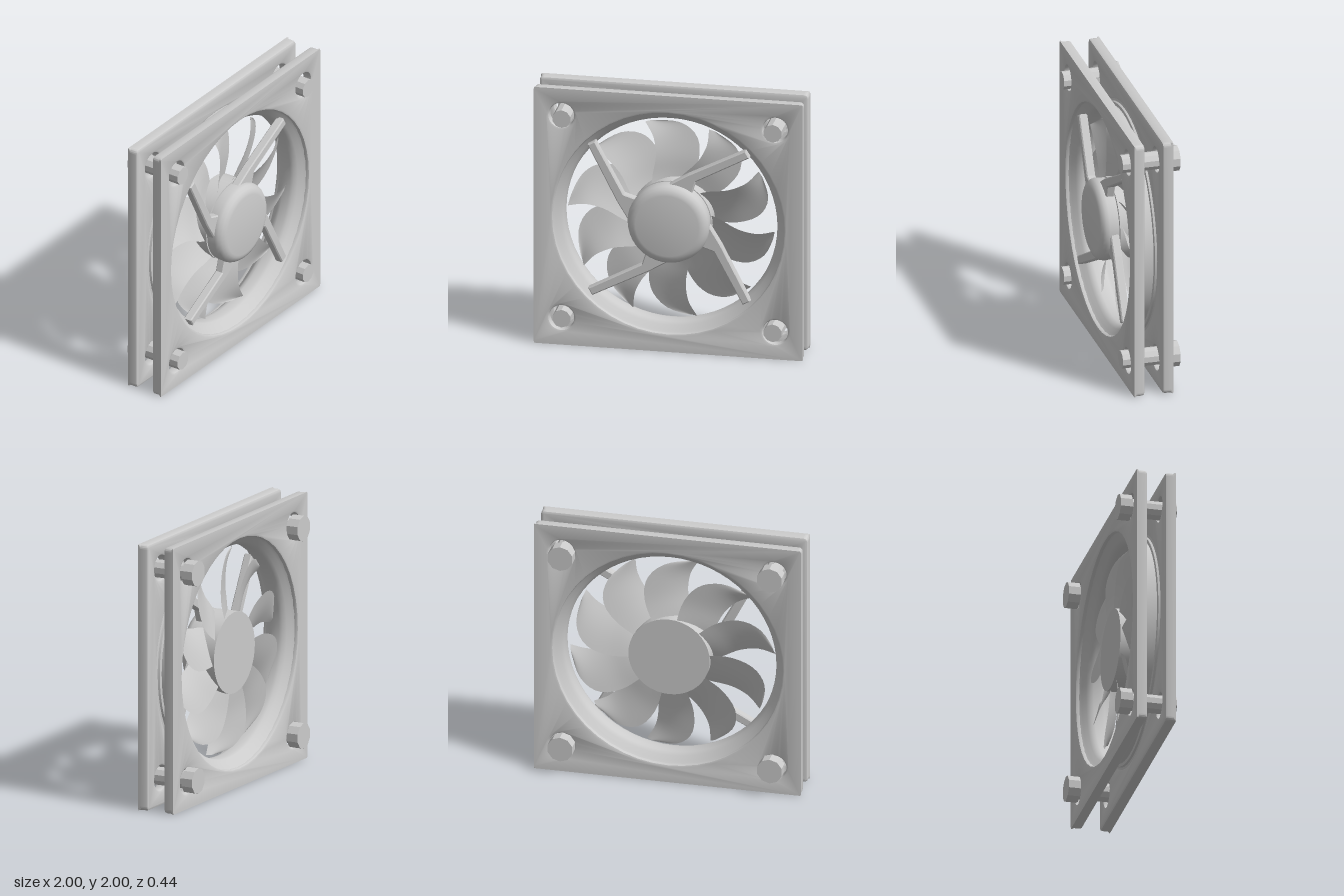
import * as THREE from 'three';
import { toCreasedNormals } from 'three/addons/utils/BufferGeometryUtils.js';

const mat = new THREE.MeshStandardMaterial({ color: 0xcccccc });
const thin = new THREE.MeshStandardMaterial({ color: 0xcccccc, side: THREE.DoubleSide });
const BOLT = 0.785;

function part(name, geo, parent, material = mat) {
  const mesh = new THREE.Mesh(geo, material);
  mesh.name = name;
  parent.add(mesh);
  return mesh;
}

// Lathe whose axis is z; points are [radius, z]
function turned(points, segments) {
  const geo = new THREE.LatheGeometry(points.map(([r, z]) => new THREE.Vector2(r, z)), segments);
  geo.rotateX(Math.PI / 2);
  return toCreasedNormals(geo, 0.6);
}

// Square plate with round opening and bolt holes, eased on its inner (z = 0) side
function plateGeometry() {
  const s = 1, c = 0.035;
  const shape = new THREE.Shape();
  shape.moveTo(-s + c, -s);
  shape.lineTo(s - c, -s).quadraticCurveTo(s, -s, s, -s + c);
  shape.lineTo(s, s - c).quadraticCurveTo(s, s, s - c, s);
  shape.lineTo(-s + c, s).quadraticCurveTo(-s, s, -s, s - c);
  shape.lineTo(-s, -s + c).quadraticCurveTo(-s, -s, -s + c, -s);
  const hole = (x, y, r) => shape.holes.push(new THREE.Path().absarc(x, y, r, 0, Math.PI * 2, true));
  hole(0, 0, 0.86);
  for (const x of [-1, 1]) for (const y of [-1, 1]) hole(x * 0.795, y * 0.79, 0.093);
  const geo = new THREE.ExtrudeGeometry(shape, {
    depth: 0.045, bevelThickness: 0.0175, bevelSize: 0.018, bevelOffset: -0.018,
    bevelSegments: 2, curveSegments: 24,
  });
  geo.translate(0, 0, 0.0175);
  // Square the rim on the outer face
  const p = geo.attributes.position;
  for (let i = 0; i < p.count; i++) {
    const x = p.getX(i), y = p.getY(i);
    if (p.getZ(i) < 0.064) continue;
    if (Math.abs(x) > 0.95) p.setX(i, Math.sign(x) * Math.min(1, Math.abs(x) / 0.982));
    if (Math.abs(y) > 0.95) p.setY(i, Math.sign(y) * Math.min(1, Math.abs(y) / 0.982));
  }
  geo.computeVertexNormals();
  return toCreasedNormals(geo, 0.6);
}

// Swept, pitched blade spanned between two edge curves of (radius, degrees, z)
function bladeGeometry() {
  const curve = (pts) => new THREE.CatmullRomCurve3(pts.map((q) => new THREE.Vector3(...q)), false, 'catmullrom');
  const lead = curve([[0.29, 14, 0.06], [0.46, 0, 0.06], [0.62, -3, 0.06], [0.77, 0, 0.05]]);
  const trail = curve([[0.29, -40, -0.07], [0.45, -38, -0.07], [0.62, -31, -0.07], [0.72, -20, -0.04], [0.76, -6, 0.02]]);
  const n = 14, m = 8, pos = [], idx = [];
  for (let i = 0; i <= n; i++) {
    const a = lead.getPoint(i / n), b = trail.getPoint(i / n);
    for (let j = 0; j <= m; j++) {
      const q = a.clone().lerp(b, j / m), t = THREE.MathUtils.degToRad(q.y);
      pos.push(q.x * Math.cos(t), q.x * Math.sin(t), q.z - 0.01 * Math.sin((j / m) * Math.PI));
      if (i < n && j < m) {
        const k = i * (m + 1) + j;
        idx.push(k, k + m + 1, k + 1, k + 1, k + m + 1, k + m + 2);
      }
    }
  }
  const geo = new THREE.BufferGeometry();
  geo.setAttribute('position', new THREE.Float32BufferAttribute(pos, 3));
  // Wind the sheet so its normals face the front
  for (let i = 0; i < idx.length; i += 3) [idx[i + 1], idx[i + 2]] = [idx[i + 2], idx[i + 1]];
  geo.setIndex(idx);
  geo.computeVertexNormals();
  if (geo.attributes.normal.getZ(60) < 0) {
    geo.setIndex(idx.reverse());
    geo.computeVertexNormals();
  }
  return geo;
}

// Arm from the hub to the ring, wider at its root
function strutGeometry() {
  const shape = new THREE.Shape([
    [0.0, 0.24], [0.17, 0.24], [0.2, 0.335], [0.6, 0.55], [0.57, 0.605], [0.14, 0.385], [0.0, 0.3],
  ].map(([x, y]) => new THREE.Vector2(x, y)));
  const geo = new THREE.ExtrudeGeometry(shape, {
    depth: 0.05, bevelThickness: 0.008, bevelSize: 0.008, bevelOffset: -0.008, bevelSegments: 1,
  });
  return geo.translate(0, 0, 0.09);
}

export function createModel() {
  const group = new THREE.Group();
  group.name = 'coolingFan';
  const fan = new THREE.Group();
  fan.name = 'fanAssembly';
  fan.position.y = 1;
  group.add(fan);

  // Frame: two plates joined by a flared duct
  const plate = plateGeometry();
  part('frontPlate', plate, fan).position.z = 0.085;
  const back = part('backPlate', plate, fan);
  back.rotation.y = Math.PI;
  back.position.z = -0.05;
  part('duct', turned([
    [0.882, 0.164], [0.872, 0.15], [0.845, 0.12], [0.815, 0.095], [0.795, 0.07], [0.79, 0.045],
    [0.79, -0.01], [0.795, -0.035], [0.815, -0.06], [0.845, -0.085], [0.872, -0.115], [0.882, -0.129],
    [0.89, -0.06], [0.85, -0.05], [0.845, -0.035], [0.825, -0.03], [0.825, 0.065], [0.845, 0.07],
    [0.85, 0.085], [0.89, 0.095], [0.882, 0.164],
  ], 64), fan, thin);

  // Fixed motor housing and its four arms
  part('motorHousing', turned([
    [0, 0.08], [0.3, 0.08], [0.305, 0.15], [0.298, 0.175], [0.28, 0.198], [0.255, 0.211], [0.235, 0.215], [0, 0.215],
  ], 40), fan);
  const strut = strutGeometry();
  for (let i = 0; i < 4; i++) part('strut', strut, fan).rotation.z = (i * Math.PI) / 2;

  // Rotor with ten blades
  const rotor = new THREE.Group();
  rotor.name = 'rotor';
  fan.add(rotor);
  part('rotorHub', turned([[0, -0.08], [0.305, -0.08], [0.305, 0.075], [0, 0.075]], 40), rotor);
  const blade = bladeGeometry();
  for (let i = 0; i < 10; i++) {
    part('blade', blade, rotor, thin).rotation.z = THREE.MathUtils.degToRad(104.5 + i * 36);
  }

  // Corner bolts with larger heads at the back
  const shaft = toCreasedNormals(new THREE.CylinderGeometry(0.069, 0.069, 0.35, 10).rotateX(Math.PI / 2), 0.3);
  const head = toCreasedNormals(new THREE.CylinderGeometry(0.097, 0.097, 0.09, 10).rotateX(Math.PI / 2), 0.3);
  for (const x of [-BOLT, BOLT]) {
    for (const y of [-BOLT + 0.005, BOLT - 0.005]) {
      const bolt = new THREE.Group();
      bolt.name = 'bolt';
      bolt.position.set(x, y, 0);
      part('boltShaft', shaft, bolt).position.z = 0.035;
      part('boltHead', head, bolt).position.z = -0.175;
      fan.add(bolt);
    }
  }
  return group;
}
